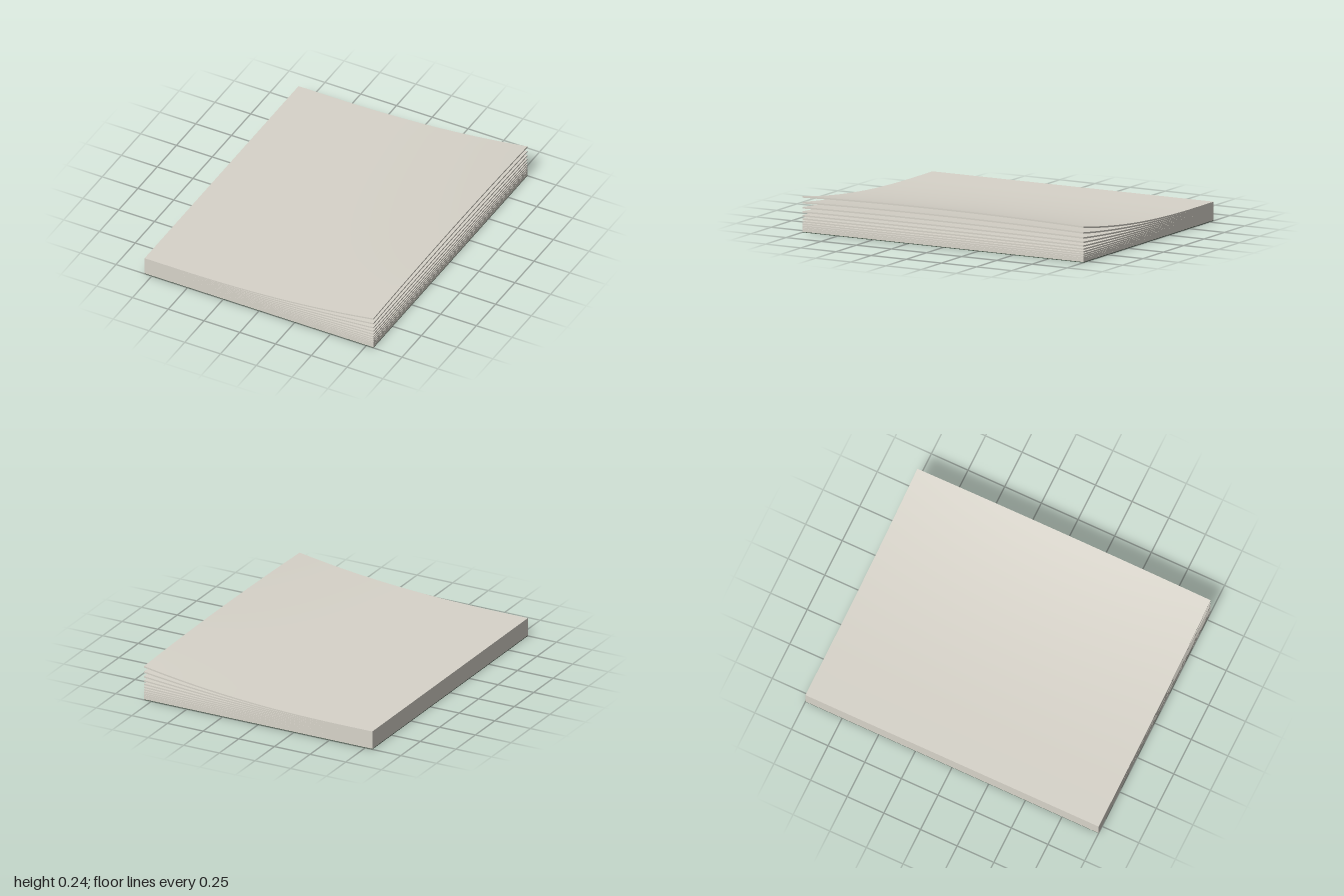
import * as THREE from 'three';

const WIDTH = 1.6, DEPTH = 2, HEIGHT = 0.12;
const BACKING = 0.004, BINDING = 0.005, SHEETS = 12;

export function createModel() {
  const paper = new THREE.MeshStandardMaterial({ color: 0xd8d4ca });
  paper.name = 'paper';
  const green = new THREE.MeshStandardMaterial({ color: 0x4a5a4c });
  green.name = 'dark green';

  const pad = new THREE.Group();
  pad.name = 'paperPad';
  const add = (name, geometry, material, x, y) => {
    const mesh = new THREE.Mesh(geometry, material);
    mesh.name = name;
    mesh.position.set(x, y, 0);
    pad.add(mesh);
  };

  // Backing card and the flat glued edge
  add('backingCard', new THREE.BoxGeometry(WIDTH, BACKING, DEPTH), green, 0, BACKING / 2);
  add('gluedBinding', new THREE.BoxGeometry(BINDING, HEIGHT - BACKING, DEPTH), paper,
    -WIDTH / 2 + BINDING / 2, (HEIGHT + BACKING) / 2);

  // Leaves fan upwards toward the free edge, most strongly at the top
  const thickness = (HEIGHT - BACKING) / SHEETS;
  for (let i = 0; i < SHEETS; i++) {
    const lift = 0.123 * (i / (SHEETS - 1)) ** 3;
    add('leaf' + (i + 1), curledLeaf(thickness, lift), paper,
      BINDING / 2, BACKING + (i + 0.5) * thickness);
  }
  return pad;
}

// A thin slab whose free edge rises, sagging slightly at both corners
function curledLeaf(thickness, lift) {
  const geometry = new THREE.BoxGeometry(WIDTH - BINDING, thickness, DEPTH, 32, 1, 16);
  const p = geometry.attributes.position;
  const hinge = -0.6, free = (WIDTH - BINDING) / 2;
  for (let i = 0; i < p.count; i++) {
    const t = Math.max(0, (p.getX(i) - hinge) / (free - hinge));
    const z = p.getZ(i);
    p.setY(i, p.getY(i) + lift * t ** 2.25 * (1 - 0.13 * z * z));
  }
  geometry.computeVertexNormals();
  return geometry;
}
